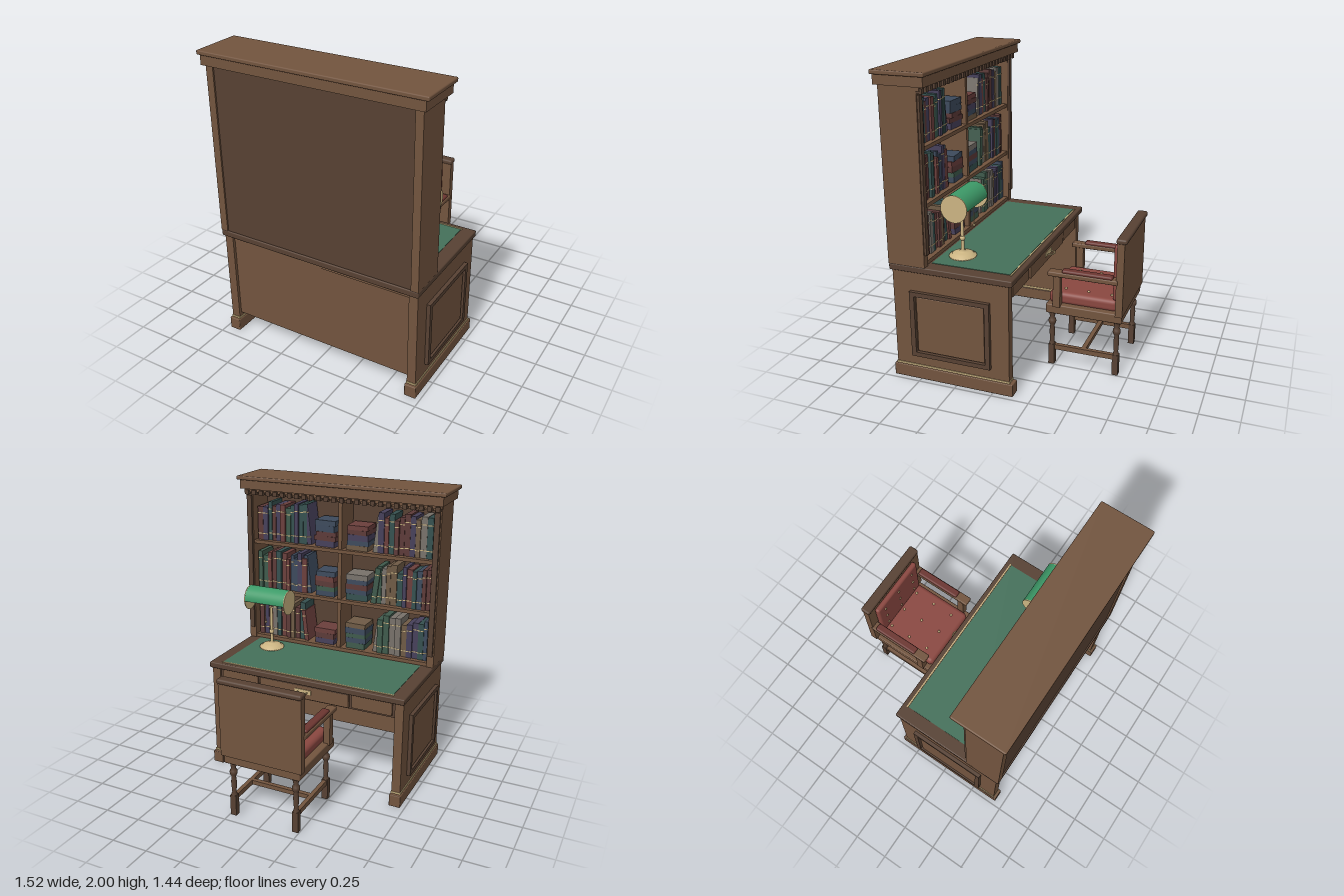
import * as THREE from 'three';
import { RoundedBoxGeometry } from 'three/addons/geometries/RoundedBoxGeometry.js';

const mat = (color, side = THREE.FrontSide) => new THREE.MeshStandardMaterial({ color, side });
const WOOD = mat(0x72543e), DARK = mat(0x574133), BRASS = mat(0xcbb482);
const RED = mat(0x8a4740), DEEPRED = mat(0x6b3530), LEATHER = mat(0x44705a);
const SHADE = mat(0x3d9a68, THREE.DoubleSide);
const BOOKS = [0x6b3f3c, 0x3d4a5c, 0x3f5a4c, 0x6e5a45, 0x77716a, 0x46405a, 0x35504f, 0x5c3a38].map((c) => mat(c));

function add(parent, name, geo, material, x = 0, y = 0, z = 0) {
  const m = new THREE.Mesh(geo, material);
  m.name = name;
  m.position.set(x, y, z);
  parent.add(m);
  return m;
}
// Box given by its extents; r > 0 rounds the edges
function box(parent, name, material, [x0, x1], [y0, y1], [z0, z1], r = 0) {
  const w = Math.abs(x1 - x0), h = y1 - y0, d = z1 - z0;
  const geo = r ? new RoundedBoxGeometry(w, h, d, 3, r) : new THREE.BoxGeometry(w, h, d);
  return add(parent, name, geo, material, (x0 + x1) / 2, (y0 + y1) / 2, (z0 + z1) / 2);
}
const lathe = (pts, n = 24) => new THREE.LatheGeometry(pts.map(([r, y]) => new THREE.Vector2(r, y)), n);
function group(parent, name) {
  const g = new THREE.Group();
  g.name = name;
  parent.add(g);
  return g;
}
let seed = 7;
const rnd = () => (seed = (seed * 16807) % 2147483647) / 2147483647;

function buildDesk(root) {
  const g = group(root, 'desk');
  box(g, 'deskTop', DARK, [-0.72, 0.72], [0.745, 0.787], [-0.135, 0.69], 0.008);
  box(g, 'writingLeather', LEATHER, [-0.63, 0.63], [0.78, 0.79], [-0.09, 0.435]);
  box(g, 'leatherTrim', BRASS, [-0.637, 0.637], [0.78, 0.792], [-0.103, -0.094]);
  for (const s of [-1, 1]) {
    box(g, 'sidePanel', WOOD, [s * 0.65, s * 0.71], [0.08, 0.745], [-0.11, 0.67]);
    box(g, 'plinth', WOOD, [s * 0.642, s * 0.721], [0, 0.085], [-0.135, 0.69], 0.006);
    box(g, 'plinthTrim', BRASS, [s * 0.646, s * 0.715], [0.088, 0.1], [-0.114, 0.674]);
    // raised frame around each outer panel
    for (const [y, z] of [[[0.17, 0.2], [0.01, 0.55]], [[0.59, 0.62], [0.01, 0.55]],
      [[0.2, 0.59], [0.01, 0.042]], [[0.2, 0.59], [0.518, 0.55]]])
      box(g, 'panelMoulding', DARK, [s * 0.705, s * 0.735], y, z);
    box(g, 'raisedField', WOOD, [s * 0.705, s * 0.724], [0.205, 0.585], [0.05, 0.51], 0.006);
    box(g, 'sideDrawer', WOOD, [s * 0.35, s * 0.63], [0.645, 0.735], [-0.108, -0.08]);
  }
  box(g, 'modestyPanel', WOOD, [-0.65, 0.65], [0.13, 0.745], [0.62, 0.65]);
  box(g, 'backRail', WOOD, [-0.65, 0.65], [0.71, 0.73], [0.64, 0.656]);
  box(g, 'apron', DARK, [-0.65, 0.65], [0.63, 0.745], [-0.095, -0.06]);
  box(g, 'drawerBox', DARK, [-0.31, 0.31], [0.65, 0.74], [-0.07, 0.25]);
  box(g, 'centreDrawer', WOOD, [-0.33, 0.33], [0.64, 0.737], [-0.115, -0.08], 0.005);
  box(g, 'handlePlate', BRASS, [-0.06, 0.06], [0.68, 0.71], [-0.12, -0.113]);
  const bail = add(g, 'handleBail', new THREE.TorusGeometry(0.035, 0.005, 8, 16, Math.PI), BRASS, 0, 0.695, -0.125);
  bail.rotation.x = Math.PI / 2 + Math.PI;
}

function buildHutch(root) {
  const g = group(root, 'bookcase');
  for (const s of [-1, 1]) {
    box(g, 'bookcaseSide', WOOD, [s * 0.67, s * 0.72], [0.787, 1.91], [0.44, 0.69]);
    box(g, 'pilaster', DARK, [s * 0.675, s * 0.712], [0.87, 1.86], [0.425, 0.445]);
  }
  box(g, 'bookcaseBack', DARK, [-0.67, 0.67], [0.787, 1.91], [0.655, 0.68]);
  box(g, 'divider', WOOD, [-0.014, 0.014], [0.8, 1.88], [0.46, 0.66]);
  for (const y of [0.787, 1.15, 1.51])
    box(g, 'shelf', WOOD, [-0.67, 0.67], [y, y + 0.025], [0.45, 0.66]);
  box(g, 'bookcaseTop', WOOD, [-0.67, 0.67], [1.87, 1.91], [0.44, 0.66]);
  box(g, 'frieze', WOOD, [-0.725, 0.725], [1.885, 1.912], [0.42, 0.445]);
  for (let i = 0; i < 26; i++) {
    const x = -0.7 + i * 0.056;
    box(g, 'dentil', DARK, [x - 0.015, x + 0.015], [1.868, 1.9], [0.405, 0.44]);
  }
  box(g, 'corniceLower', WOOD, [-0.74, 0.74], [1.91, 1.972], [0.385, 0.71]);
  box(g, 'corniceUpper', WOOD, [-0.76, 0.76], [1.972, 2], [0.37, 0.72], 0.008);
}

function buildBooks(root) {
  const g = group(root, 'books');
  for (const floor of [0.812, 1.175, 1.535])
    for (const s of [-1, 1]) {
      // upright row with banded spines, the innermost book leaning
      let x = 0.655;
      while (x > 0.25) {
        const w = 0.026 + rnd() * 0.018, h = 0.23 + rnd() * 0.06, front = 0.475 + rnd() * 0.02;
        const book = group(g, 'uprightBook');
        book.position.set(s * (x - w / 2), floor, 0);
        box(book, 'cover', BOOKS[Math.floor(rnd() * 8)], [-w / 2, w / 2], [0, h], [front, 0.64]);
        for (const f of [0.18, 0.8])
          box(book, 'spineBand', BRASS, [-w / 2, w / 2], [h * f, h * f + 0.006], [front - 0.002, front + 0.01]);
        x -= w + 0.002;
        if (x <= 0.25) book.rotation.z = -s * 0.12;
      }
      // flat stack beside the divider
      let y = floor;
      const n = 3 + Math.floor(rnd() * 3);
      for (let i = 0; i < n; i++) {
        const h = 0.03 + rnd() * 0.015, w = 0.14 + rnd() * 0.03;
        const b = box(g, 'stackedBook', BOOKS[Math.floor(rnd() * 8)], [-w / 2, w / 2], [y, y + h], [0.48, 0.63]);
        b.position.x = s * 0.12;
        b.rotation.y = (rnd() - 0.5) * 0.15;
        y += h;
      }
    }
}

function buildLamp(root) {
  const g = group(root, 'deskLamp');
  g.position.set(0.46, 0.79, 0.3);
  add(g, 'lampBase', lathe([[0, 0], [0.088, 0], [0.088, 0.01], [0.07, 0.015], [0.066, 0.025],
    [0.045, 0.03], [0.025, 0.035], [0.011, 0.045], [0.01, 0.3], [0, 0.31]], 32), BRASS);
  add(g, 'stemKnob', new THREE.SphereGeometry(0.018, 16, 12), BRASS, 0, 0.122, 0);
  add(g, 'bulb', new THREE.CapsuleGeometry(0.02, 0.12, 6, 12), BRASS, 0, 0.35, -0.01).rotation.z = Math.PI / 2;
  const r = 0.087, y = 0.368, z = -0.022;
  const shade = add(g, 'lampShade',
    new THREE.CylinderGeometry(r, r, 0.312, 32, 1, true, -0.1, Math.PI + 0.2), SHADE, 0, y, z);
  shade.rotation.z = Math.PI / 2;
  for (const s of [-1, 1])
    add(g, 'shadeEnd', new THREE.CylinderGeometry(r + 0.001, r + 0.001, 0.006, 32), BRASS, s * 0.156, y, z)
      .rotation.z = Math.PI / 2;
  add(g, 'pullChain', new THREE.CylinderGeometry(0.003, 0.003, 0.13, 8), BRASS, 0, 0.285, -0.083);
  add(g, 'chainBead', new THREE.SphereGeometry(0.008, 10, 8), BRASS, 0, 0.22, -0.083);
}

function buildChair(root) {
  const g = group(root, 'chair');
  const legGeo = lathe([[0.02, 0.14], [0.02, 0.15], [0.014, 0.165], [0.019, 0.24], [0.014, 0.28],
    [0.024, 0.3], [0.026, 0.312], [0.024, 0.325], [0.014, 0.34], [0.02, 0.36], [0.02, 0.39]], 16);
  for (const s of [-1, 1]) {
    for (const z of [-0.225, -0.662]) {
      box(g, 'legBlock', DARK, [s * 0.203, s * 0.245], [0, 0.145], [z - 0.02, z + 0.02]);
      add(g, 'turnedLeg', legGeo, DARK, s * 0.224, 0, z);
    }
    box(g, 'sideStretcher', WOOD, [s * 0.21, s * 0.238], [0.108, 0.142], [-0.65, -0.24]);
    box(g, 'armSupport', WOOD, [s * 0.235, s * 0.28], [0.44, 0.665], [-0.292, -0.244]);
    box(g, 'armRest', WOOD, [s * 0.228, s * 0.292], [0.658, 0.69], [-0.67, -0.21], 0.008);
    box(g, 'armPad', DEEPRED, [s * 0.232, s * 0.285], [0.68, 0.708], [-0.635, -0.302], 0.012);
  }
  box(g, 'crossStretcher', WOOD, [-0.22, 0.22], [0.11, 0.14], [-0.455, -0.425]);
  box(g, 'seatFrame', WOOD, [-0.268, 0.268], [0.385, 0.45], [-0.7, -0.192], 0.008);
  box(g, 'seatCushion', RED, [-0.23, 0.23], [0.44, 0.524], [-0.66, -0.2], 0.03);
  box(g, 'backPanel', WOOD, [-0.285, 0.285], [0.44, 0.94], [-0.707, -0.66]);
  box(g, 'topRail', DARK, [-0.29, 0.29], [0.935, 0.97], [-0.722, -0.652], 0.014);
  box(g, 'backCushion', RED, [-0.225, 0.225], [0.52, 0.9], [-0.665, -0.625], 0.018);
  // tufting buttons on seat and back
  const button = new THREE.SphereGeometry(0.009, 10, 8);
  for (const x of [-0.155, 0, 0.155])
    for (const i of [0, 1, 2]) {
      add(g, 'seatButton', button, BRASS, x, 0.525, -0.605 + i * 0.155);
      add(g, 'backButton', button, BRASS, x, 0.59 + i * 0.12, -0.626);
    }
}

export function createModel() {
  const root = new THREE.Group();
  root.name = 'writingDeskSet';
  [buildDesk, buildHutch, buildBooks, buildLamp, buildChair].forEach((build) => build(root));
  return root;
}
